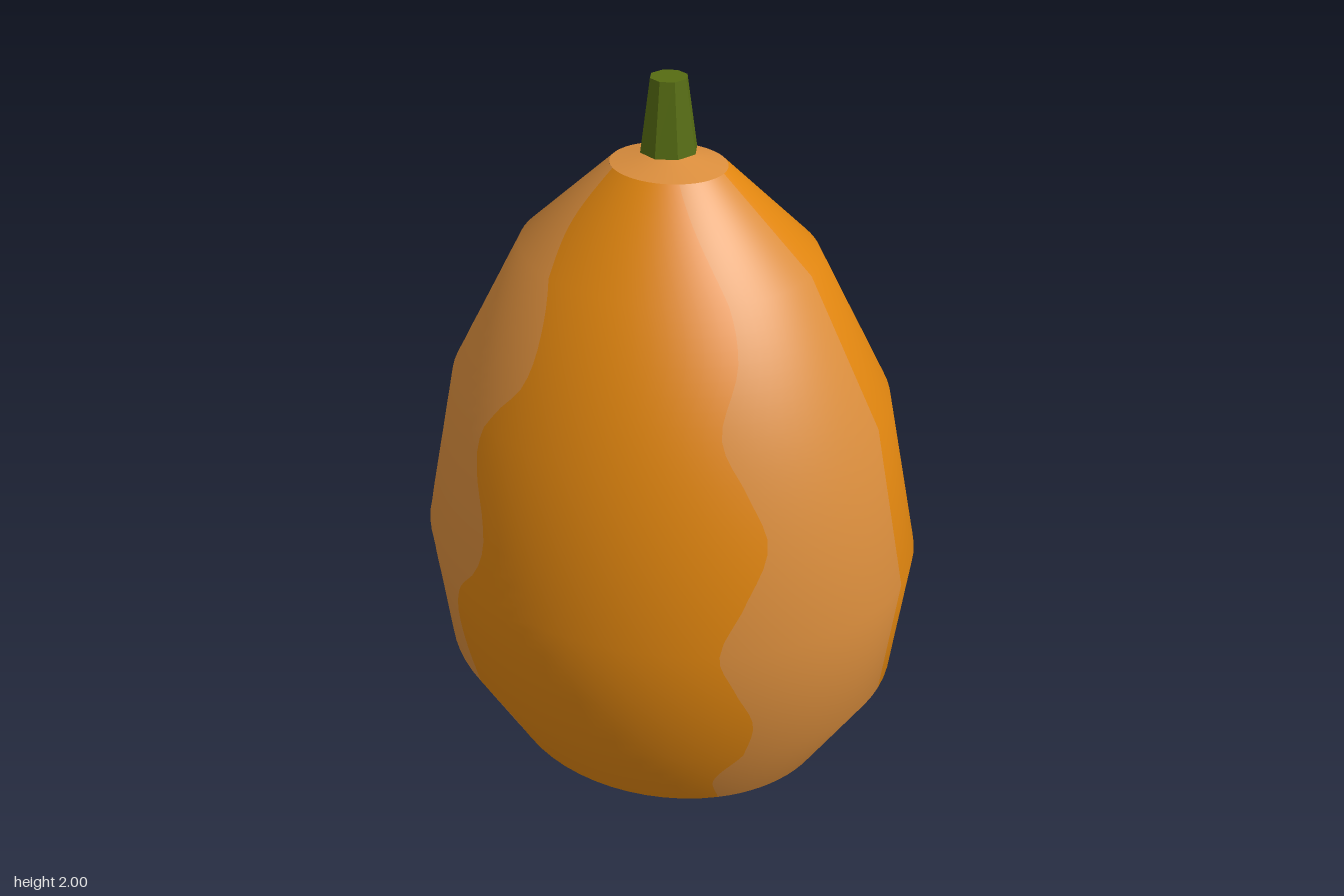
import * as THREE from 'three';

const DEPTH = 0.865; // body is an oval: depth over width
const RAD = Math.PI / 180;

// Outline of the skin as [radius, height], bottom to top
const SIDE = [[0.48, 0.08], [0.645, 0.365], [0.685, 0.73], [0.59, 1.18], [0.39, 1.56], [0.15, 1.78]];
const FOOT = [[0.28, 0], [0.48, 0.08]];

// Smooth wavy stripe border: height -> angle in degrees
function border(heights, degrees) {
  const curve = new THREE.CubicInterpolant(heights, degrees, 1, new Float32Array(1));
  return y => curve.evaluate(THREE.MathUtils.clamp(y, 0.08, 1.78))[0] * RAD;
}

const BORDERS = [
  () => 0,
  border([0.08, 0.2, 0.36, 0.47, 0.6, 0.73, 0.86, 1.01, 1.15, 1.28, 1.44, 1.56, 1.78],
    [49, 53, 48, 46, 51, 55, 49, 42.6, 47, 52, 44, 44, 56]),
  border([0.08, 0.2, 0.28, 0.36, 0.47, 0.57, 0.68, 0.78, 0.86, 0.94, 1.05, 1.13, 1.23, 1.31, 1.42, 1.55, 1.68, 1.78],
    [123, 117, 117.6, 121, 126, 127, 123, 116, 114, 115.5, 120, 121, 117, 111, 110, 115, 129, 135]),
  border([0.08, 0.25, 0.45, 0.7, 0.89, 1, 1.14, 1.26, 1.43, 1.56, 1.78],
    [176, 172, 182, 177, 173, 177, 180, 173, 171, 179, 181]),
  border([0.08, 0.2, 0.365, 0.55, 0.73, 0.82, 0.95, 1.18, 1.37, 1.56, 1.78],
    [244, 245, 249, 253, 242, 238, 241, 252, 248, 242, 256]),
  border([0.08, 0.2, 0.365, 0.55, 0.76, 1, 1.2, 1.4, 1.56, 1.78],
    [296, 303, 300, 309, 302, 308, 303, 309, 304, 300]),
  () => 2 * Math.PI,
];

// Outline resampled into rows of [radius, height, normal out, normal up]
function rowsOf(profile, steps) {
  const slopes = profile.slice(1).map(([r, y], i) =>
    new THREE.Vector2(y - profile[i][1], profile[i][0] - r).normalize());
  const normals = profile.map((_, i) => {
    const n = new THREE.Vector2();
    if (slopes[i - 1]) n.add(slopes[i - 1]);
    if (slopes[i]) n.add(slopes[i]);
    return n.normalize();
  });
  const rows = [];
  for (let i = 0; i < profile.length - 1; i++) {
    for (let s = i ? 1 : 0; s <= steps; s++) {
      const f = s / steps, n = normals[i].clone().lerp(normals[i + 1], f);
      rows.push([
        THREE.MathUtils.lerp(profile[i][0], profile[i + 1][0], f),
        THREE.MathUtils.lerp(profile[i][1], profile[i + 1][1], f), n.x, n.y]);
    }
  }
  return rows;
}

// One stripe of skin between two borders
function stripeGeometry(rows, from, to, columns = 12) {
  const position = [], normal = [], index = [];
  const v = new THREE.Vector3();
  rows.forEach(([r, y, out, up], j) => {
    for (let i = 0; i <= columns; i++) {
      const t = THREE.MathUtils.lerp(from(y), to(y), i / columns);
      position.push(r * Math.cos(t), y, r * Math.sin(t) * DEPTH);
      v.set(out * Math.cos(t), up, out * Math.sin(t) / DEPTH).normalize();
      normal.push(v.x, v.y, v.z);
      if (j && i) {
        const d = j * (columns + 1) + i, c = d - 1, b = d - columns - 1, a = b - 1;
        index.push(a, c, b, b, c, d);
      }
    }
  });
  const g = new THREE.BufferGeometry();
  g.setAttribute('position', new THREE.Float32BufferAttribute(position, 3));
  g.setAttribute('normal', new THREE.Float32BufferAttribute(normal, 3));
  g.setIndex(index);
  return g;
}

export function createModel() {
  const orange = new THREE.MeshStandardMaterial({ name: 'orange skin', color: 0xe0850f });
  const tan = new THREE.MeshStandardMaterial({ name: 'tan skin', color: 0xdb8e3d });
  const green = new THREE.MeshStandardMaterial({ name: 'stem green', color: 0x566c12 });
  const model = new THREE.Group();
  model.name = 'squash';
  const add = (name, geometry, material) => {
    const mesh = new THREE.Mesh(geometry, material);
    mesh.name = name;
    model.add(mesh);
    return mesh;
  };

  // Striped skin and the bevelled foot below it
  const sideRows = rowsOf(SIDE, 12), footRows = rowsOf(FOOT, 1);
  for (let i = 0; i < 6; i++) {
    const material = i % 2 ? orange : tan;
    add('skinStripe' + (i + 1), stripeGeometry(sideRows, BORDERS[i], BORDERS[i + 1]), material);
    add('footStripe' + (i + 1), stripeGeometry(footRows, BORDERS[i], BORDERS[i + 1]), material);
  }

  // Shallow crown and flat base
  const lathe = points => new THREE.LatheGeometry(points.map(p => new THREE.Vector2(...p)), 72);
  add('crown', lathe([[0.15, 1.78], [0, 1.815]]), tan).scale.z = DEPTH;
  add('base', lathe([[0, 0], [0.28, 0]]), orange).scale.z = DEPTH;

  // Faceted stem
  const stem = new THREE.CylinderGeometry(0.047, 0.073, 0.185, 8).toNonIndexed();
  stem.computeVertexNormals();
  add('stem', stem, green).position.y = 1.9075;

  return model;
}
